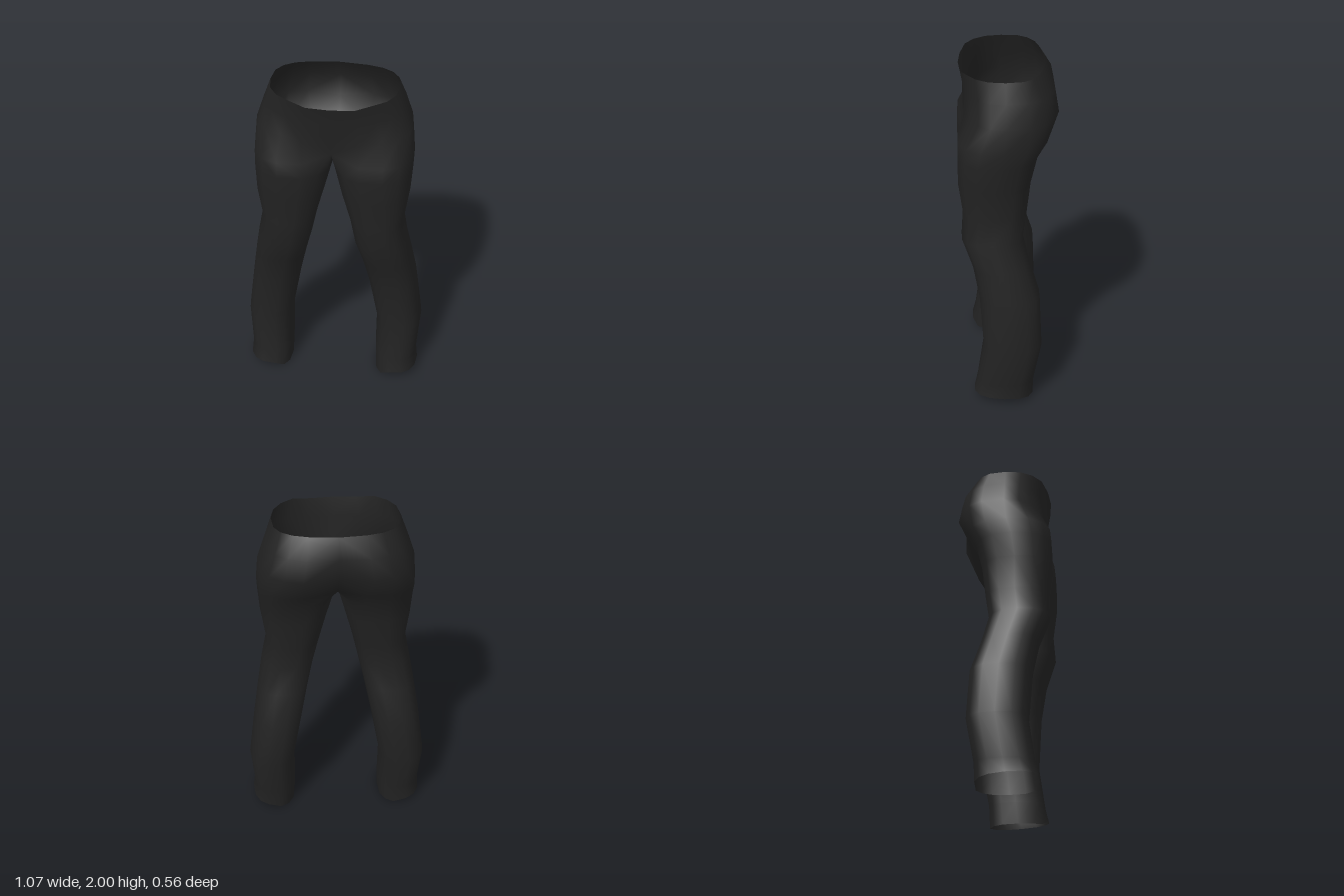
import * as THREE from 'three';
import { mergeVertices } from 'three/addons/utils/BufferGeometryUtils.js';

const N = 14;    // points around a leg
const ARC = 10;  // points 0..ARC also carry on up into the hips
const spow = (v, e) => Math.sign(v) * Math.pow(Math.abs(v), e);

// Leg sections: y, inner x, outer x, back z, front z
const LEG = [
  [0.04, 0.265, 0.525, -0.14, 0.21],
  [0.13, 0.26, 0.515, -0.145, 0.19],
  [0.38, 0.26, 0.535, -0.19, 0.155],
  [0.68, 0.207, 0.497, -0.178, 0.175],
  [0.87, 0.167, 0.467, -0.12, 0.21],
  [1.04, 0.127, 0.437, -0.08, 0.272],
  [1.19, 0.095, 0.41, -0.103, 0.262],
  [1.38, 0.045, 0.437, -0.125, 0.288],
  [1.53, 0.006, 0.447, -0.162, 0.288],
  [1.62, 0.0, 0.45, -0.215, 0.284],
];

// Hip sections: y at front, y at back, half width, back z, front z, seam depth at back
const HIPS = [
  [1.75, 1.76, 0.438, -0.29, 0.25, 0.87],
  [1.87, 1.89, 0.395, -0.268, 0.25, 0.97],
  [1.98, 2.0, 0.355, -0.2, 0.272, 1.03],
];

// Seam between the legs, front to back (y, z), as points ARC..N+0 of the top leg ring
const CROTCH = {
  0: [1.66, 0.21], 13: [1.58, 0.14], 12: [1.55, 0.05], 11: [1.57, -0.06], 10: [1.63, -0.165],
};

function legRing([y, xi, xo, zb, zf], row) {
  const ring = [];
  for (let i = 0; i < N; i++) {
    const a = (5 - i) * 2 * Math.PI / N;
    const c = spow(Math.cos(a), 0.8), s = spow(Math.sin(a), 0.8);
    const p = [(xi + xo) / 2 + c * (xo - xi) / 2, y, (zf + zb) / 2 + s * (zf - zb) / 2];
    // the hem dips at the inside and behind
    if (row === 0) p[1] = Math.max(0, 0.03 + 0.014 * c + 0.012 * s - (c < -0.3 && s < 0.9 ? 0.025 : 0));
    if (row === LEG.length - 1 && CROTCH[i]) p.splice(0, 3, 0, ...CROTCH[i]);
    ring.push(p);
  }
  return ring;
}

function hipRing([yf, yb, w, zb, zf, seam]) {
  const ring = [];
  for (let i = 0; i <= ARC; i++) {
    const a = (0.5 - i / ARC) * Math.PI;
    const front = a >= 0, e = front ? 0.85 : 0.7;
    const end = i === 0 || i === ARC;
    const s = spow(Math.sin(a), e);
    const x = end ? 0 : w * spow(Math.cos(a), e);
    const y = Math.abs(a) > 1.1 && front ? yf : yb;
    // widest depth sits either side of the back seam
    const z = front ? 0.02 + s * (zf - 0.02) : 0.02 - s * (zb - 0.02) * (i === ARC ? seam : 1);
    ring.push([x, y, z]);
  }
  return ring;
}

function trouserGeometry() {
  const rings = [...LEG.map(legRing), ...HIPS.map(hipRing)];
  const positions = [], index = [];
  for (const side of [1, -1]) {
    const starts = rings.map((ring) => {
      const start = positions.length / 3;
      ring.forEach(([x, y, z]) => positions.push(side * x, y, z));
      return start;
    });
    for (let r = 0; r < rings.length - 1; r++) {
      const inHips = r >= LEG.length - 1;
      for (let i = 0; i < (inHips ? ARC : N); i++) {
        const j = inHips ? i + 1 : (i + 1) % N;
        const a = starts[r] + i, b = starts[r] + j, c = starts[r + 1] + j, d = starts[r + 1] + i;
        if (side > 0) index.push(a, b, c, a, c, d);
        else index.push(a, c, b, a, d, c);
      }
    }
  }
  let geometry = new THREE.BufferGeometry();
  geometry.setAttribute('position', new THREE.Float32BufferAttribute(positions, 3));
  geometry.setIndex(index);
  // weld the two halves along the centre seam for smooth shading
  geometry = mergeVertices(geometry, 1e-4);
  geometry.computeVertexNormals();
  return geometry;
}

export function createModel() {
  const group = new THREE.Group();
  group.name = 'trousers';
  const cloth = new THREE.MeshStandardMaterial({ color: 0x222222, side: THREE.DoubleSide });
  cloth.name = 'charcoal cloth';
  const trousers = new THREE.Mesh(trouserGeometry(), cloth);
  trousers.name = 'trouserLegsAndHips';
  group.add(trousers);
  return group;
}
